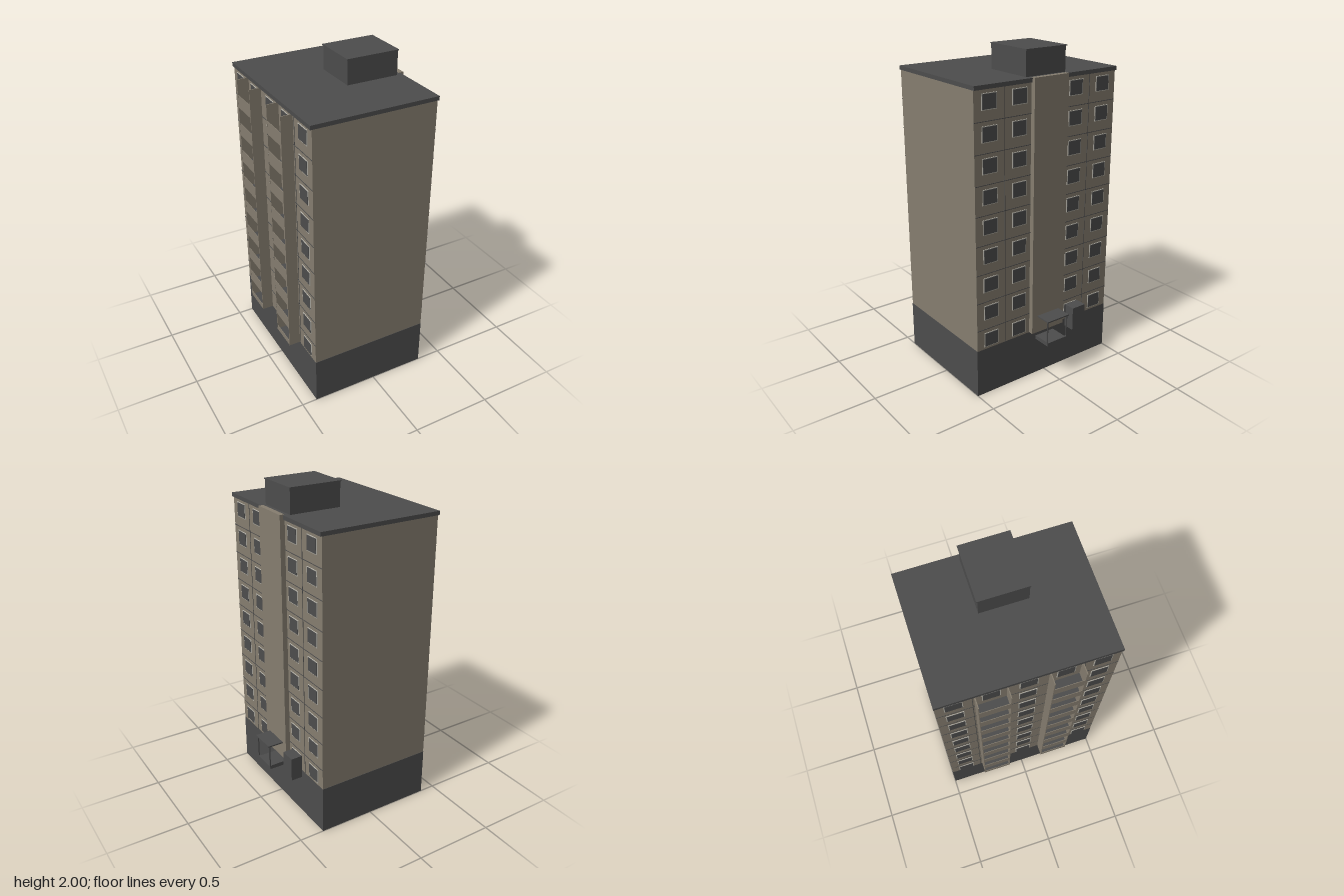
import * as THREE from 'three';

const mat = (name, color) => {
  const m = new THREE.MeshStandardMaterial({ color });
  m.name = name;
  return m;
};

export function createModel() {
  const concrete = mat('tan concrete', 0x867e70);
  const dark = mat('dark grey', 0x4d4d4d);
  const frame = mat('pale window frame', 0xbdbab0);
  const model = new THREE.Group();
  model.name = 'apartmentBlock';

  // Box given by its minimum and maximum on each axis
  const box = (name, material, x0, x1, y0, y1, z0, z1, parent = model) => {
    const mesh = new THREE.Mesh(new THREE.BoxGeometry(x1 - x0, y1 - y0, z1 - z0), material);
    mesh.position.set((x0 + x1) / 2, (y0 + y1) / 2, (z0 + z1) / 2);
    mesh.name = name;
    parent.add(mesh);
    return mesh;
  };
  const group = (name) => {
    const g = new THREE.Group();
    g.name = name;
    model.add(g);
    return g;
  };

  const BACK = -0.405, FRONT = 0.345, BASE = 0.3, TOP = 1.826;
  const FLOORS = 9, PITCH = 0.175, SEAM = 0.43;

  // Main masses
  box('basePlinth', dark, BACK, FRONT, 0, BASE, -0.5, 0.5);
  box('towerBody', concrete, BACK, FRONT, BASE, TOP, -0.498, 0.498);
  box('roofSlab', dark, -0.415, 0.355, TOP, 1.85, -0.5, 0.5);
  box('stairShaft', concrete, FRONT, 0.375, BASE, 1.853, -0.12, 0.12);

  // Lift room on the roof
  box('roofRoom', dark, 0, 0.32, 1.85, 1.994, -0.138, 0.138);
  box('roofRoomCap', dark, -0.005, 0.325, 1.994, 2, -0.144, 0.141);

  // Thin plate on a long facade; side is +1 or -1 along x
  const plate = (name, material, side, thick, y0, y1, z0, z1, parent) => {
    const wall = side > 0 ? FRONT : BACK, out = wall + side * thick;
    box(name, material, Math.min(wall, out), Math.max(wall, out), y0, y1, z0, z1, parent);
  };

  // Windows: pale frame plate with a dark pane in front
  const windows = group('windows');
  const addWindow = (side, y, z, w = 0.1, h = 0.09) => {
    plate('windowFrame', frame, side, 0.003, y - h / 2, y + h / 2, z - w / 2, z + w / 2, windows);
    plate('windowPane', dark, side, 0.005, y - h / 2 + 0.004, y + h / 2 - 0.004,
      z - w / 2 + 0.005, z + w / 2 - 0.005, windows);
  };
  for (let i = 0; i < FLOORS; i++) {
    const y = 0.36 + i * PITCH;
    for (const z of [-0.4, -0.2, 0.2, 0.4]) addWindow(1, y, z);
    for (const z of [-0.4, -0.2, 0, 0.2, 0.4]) addWindow(-1, y, z);
  }

  // Joints between the wall panels
  const joints = group('panelJoints');
  for (let i = 0; i < FLOORS - 1; i++) {
    const y = SEAM + i * PITCH;
    for (const side of [1, -1])
      plate('floorJoint', dark, side, 0.002, y - 0.002, y + 0.002, -0.498, 0.498, joints);
  }
  for (const z of [-0.3, 0.3])
    for (const side of [1, -1])
      plate('verticalJoint', dark, side, 0.002, BASE, TOP, z - 0.0015, z + 0.0015, joints);

  // Two stacks of balconies between full-height fins
  for (const [z0, z1] of [[-0.29, -0.113], [0.109, 0.286]]) {
    const stack = group('balconyStack');
    box('balconyFin', concrete, -0.475, BACK, BASE, TOP, z0, z0 + 0.005, stack);
    box('balconyFin', concrete, -0.475, BACK, BASE, TOP, z1 - 0.005, z1, stack);
    for (let i = 0; i < FLOORS; i++) {
      const floor = Math.max(BASE, SEAM + (i - 1) * PITCH);
      const rail = SEAM + (i - 1) * PITCH + 0.078;
      box('balconyFloor', dark, -0.472, BACK, floor, floor + 0.006, z0 + 0.005, z1 - 0.005, stack);
      box('balconyParapet', concrete, -0.474, -0.471, floor, rail, z0 + 0.005, z1 - 0.005, stack);
    }
  }

  // Entrance porch: step, canopy and two posts
  const porch = group('entrancePorch');
  box('porchStep', dark, FRONT, 0.46, 0.235, 0.26, -0.068, 0.068, porch);
  box('porchCanopy', dark, 0.375, 0.475, 0.404, 0.412, -0.082, 0.08, porch);
  for (const z of [-0.074, 0.074])
    box('porchPost', dark, 0.46, 0.467, 0.258, 0.405, z - 0.003, z + 0.003, porch);
  box('porchSill', dark, 0.455, 0.467, 0.256, 0.262, -0.077, 0.077, porch);

  // Closed side entry beside the porch
  box('sideEntry', dark, FRONT, 0.418, 0.25, 0.4, -0.262, -0.165);

  return model;
}
